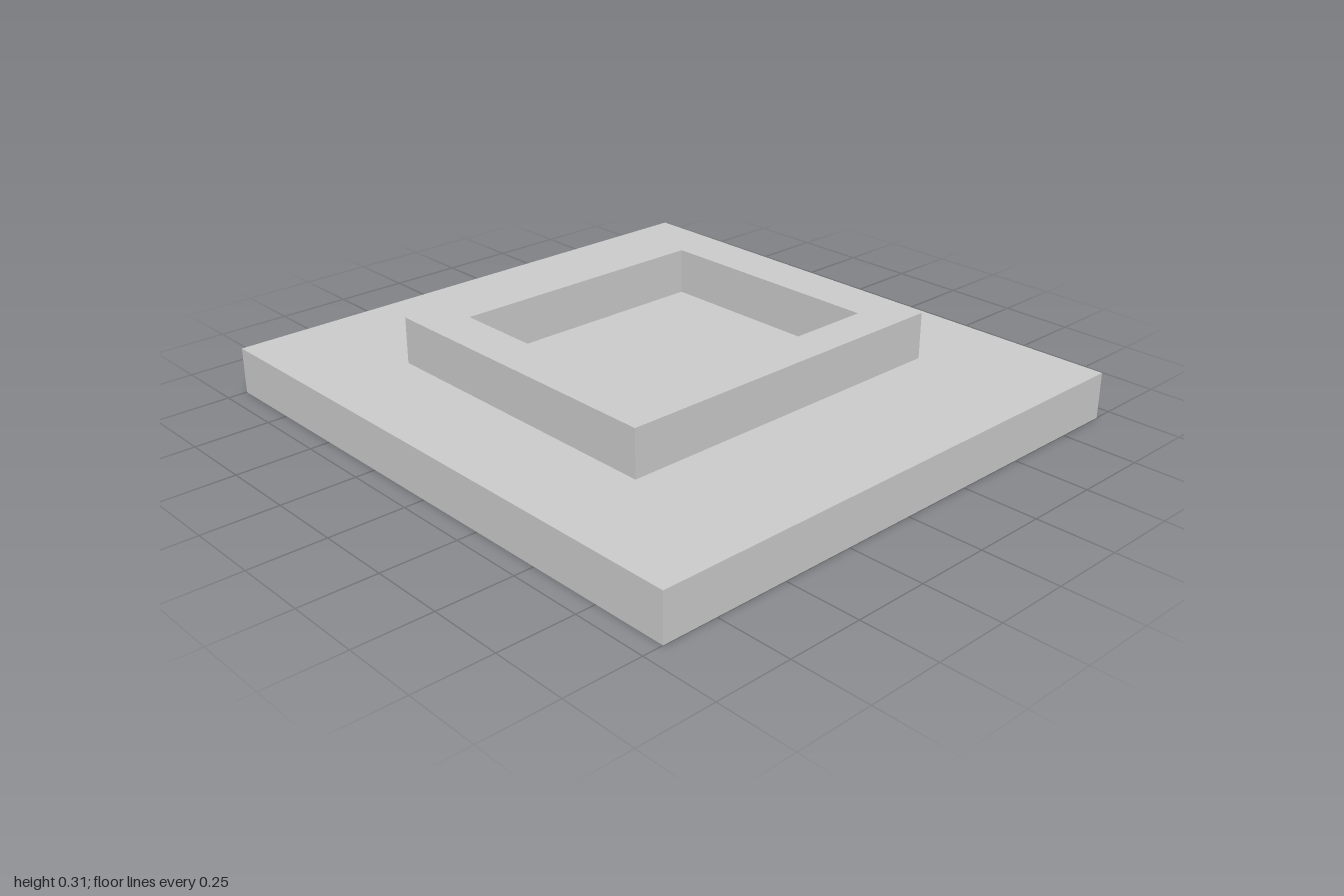
import * as THREE from 'three';

const material = new THREE.MeshStandardMaterial({ color: 0xcccccc, flatShading: true });

// Corners of a rectangle centred on the origin, from its half sizes
const corners = (x, z) => [[-x, -z], [x, -z], [x, z], [-x, z]].map(([a, b]) => new THREE.Vector2(a, b));

export function createModel() {
  const group = new THREE.Group();
  group.name = 'plinthWithRaisedFrame';
  const step = 0.155; // height of the slab and of the frame

  // Flat base slab, whose top is also the floor of the recess
  const base = new THREE.Mesh(new THREE.BoxGeometry(2, step, 1.867), material);
  base.name = 'baseSlab';
  base.position.y = step / 2;
  group.add(base);

  // Raised rectangular frame, open in the middle
  const outline = new THREE.Shape(corners(0.537, 0.606));
  outline.holes.push(new THREE.Path(corners(0.403, 0.457).reverse()));
  const frameGeometry = new THREE.ExtrudeGeometry(outline, { depth: step, bevelEnabled: false });
  frameGeometry.rotateX(-Math.PI / 2);
  const frame = new THREE.Mesh(frameGeometry, material);
  frame.name = 'raisedFrame';
  frame.position.y = step;
  group.add(frame);

  return group;
}
